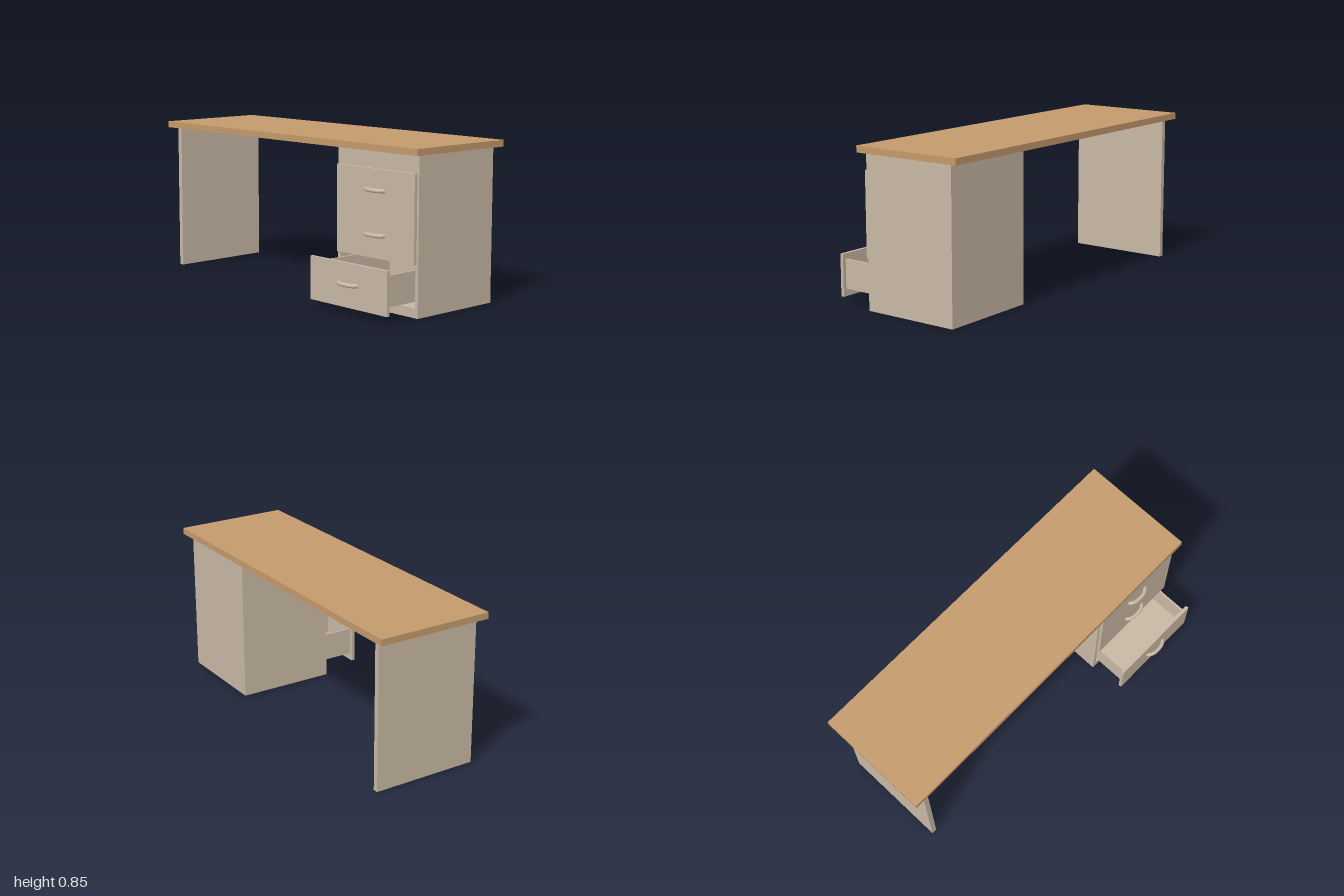
import * as THREE from 'three';

const wood = new THREE.MeshStandardMaterial({ color: 0xc49a6c });
wood.name = 'warm wood';
const beige = new THREE.MeshStandardMaterial({ color: 0xc8b8a4 });
beige.name = 'beige laminate';

// Box given by its lower and upper limits on each axis
function board(name, [x0, x1], [y0, y1], [z0, z1], material = beige) {
  const mesh = new THREE.Mesh(new THREE.BoxGeometry(x1 - x0, y1 - y0, z1 - z0), material);
  mesh.position.set((x0 + x1) / 2, (y0 + y1) / 2, (z0 + z1) / 2);
  mesh.name = name;
  return mesh;
}

// Bowed pull handle, its ends sunk into the drawer front
function handle() {
  const path = new THREE.CatmullRomCurve3([
    [-0.066, -0.008], [-0.058, 0.006], [-0.032, 0.02], [0, 0.023],
    [0.032, 0.02], [0.058, 0.006], [0.066, -0.008],
  ].map(([x, z]) => new THREE.Vector3(x, 0, z)));
  const mesh = new THREE.Mesh(new THREE.TubeGeometry(path, 24, 0.011, 10), beige);
  mesh.name = 'handle';
  return mesh;
}

// Drawer with its front face at z = 0.2 when closed
function drawer(name, y, open) {
  const group = new THREE.Group();
  group.name = name;
  const h = [0.04, 0.198], z = [-0.355, 0.183], t = 0.011;
  group.add(
    board('drawerFront', [0.416, 0.965], [0, 0.2265], [0.182, 0.2]),
    board('drawerLeftSide', [0.946 - t, 0.946], h, z),
    board('drawerRightSide', [0.435, 0.435 + t], h, z),
    board('drawerBack', [0.435 + t, 0.946 - t], h, [z[0], z[0] + t]),
    board('drawerFloor', [0.435 + t, 0.946 - t], [0.04, 0.048], [z[0] + t, z[1]]),
  );
  const pull = handle();
  pull.position.set(0.692, 0.12, 0.201);
  group.add(pull);
  group.position.set(0, y, open);
  return group;
}

export function createModel() {
  const desk = new THREE.Group();
  desk.name = 'desk';

  desk.add(board('desktop', [-1, 1], [0.812, 0.847], [-0.415, 0.222], wood));
  desk.add(board('sidePanel', [-0.935, -0.906], [0.003, 0.812], [-0.385, 0.2]));

  // Pedestal, open at the front behind the drawers
  const pedestal = new THREE.Group();
  pedestal.name = 'pedestal';
  const depth = [-0.367, 0.18], inner = [0.424, 0.956];
  pedestal.add(
    board('pedestalLeftSide', [0.956, 0.975], [0, 0.812], depth),
    board('pedestalRightSide', [0.405, 0.424], [0, 0.812], depth),
    board('pedestalBack', inner, [0.05, 0.71], [-0.367, -0.357]),
    board('pedestalBottom', inner, [0, 0.05], depth),
    board('pedestalTop', inner, [0.71, 0.812], depth),
  );
  desk.add(pedestal);

  // Three drawers, the lowest pulled out
  ['lowerDrawer', 'middleDrawer', 'upperDrawer'].forEach((name, i) => {
    desk.add(drawer(name, 0.04 + i * 0.2275, i === 0 ? 0.185 : 0));
  });
  return desk;
}
